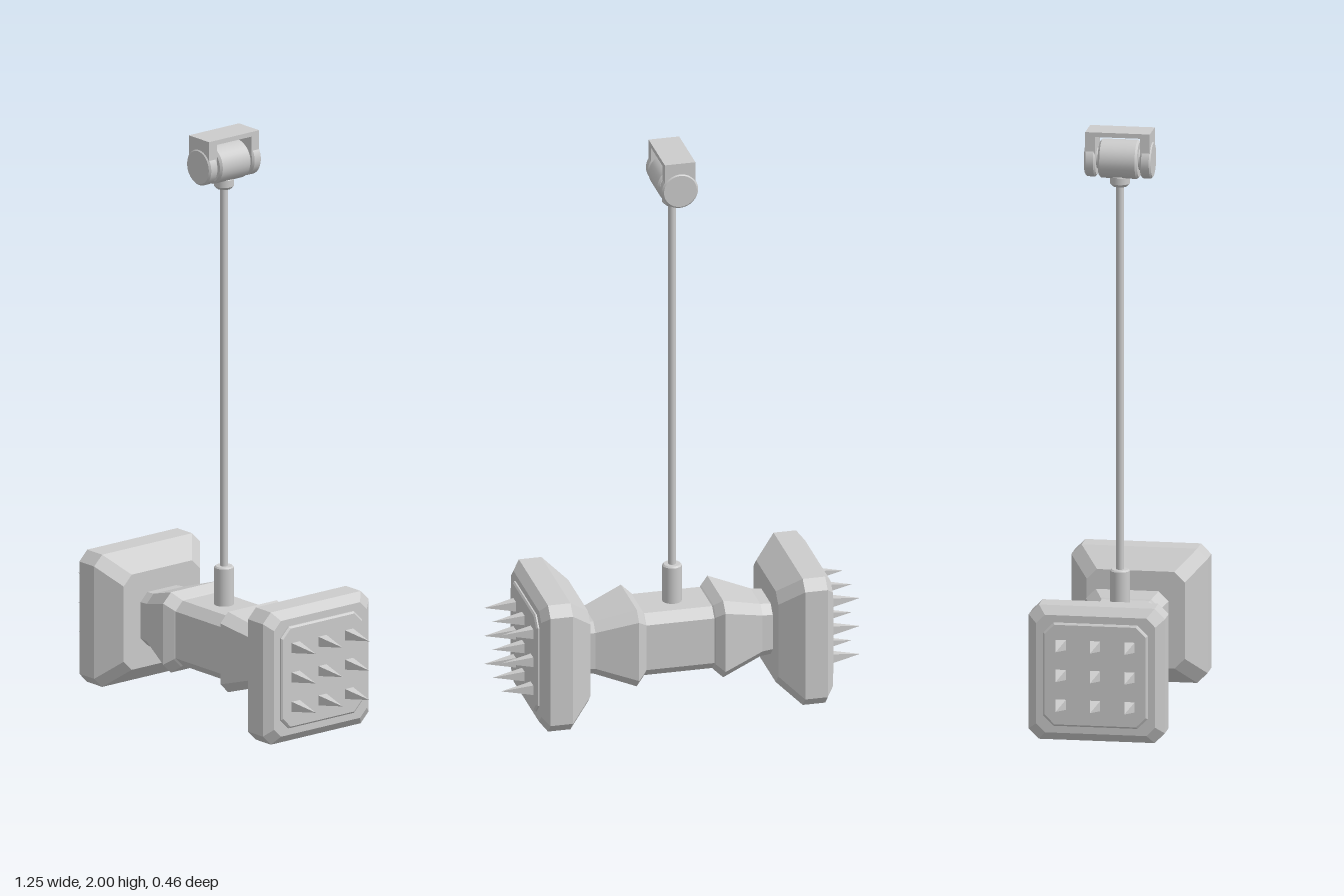
import * as THREE from 'three';

const flat = new THREE.MeshStandardMaterial({ color: 0xcccccc, flatShading: true });
const smooth = new THREE.MeshStandardMaterial({ color: 0xcccccc });
const AXIS_Y = 0.233;   // height of the hammer's long axis
const PIVOT_Y = 1.9;    // height of the hinge at the top

function add(parent, name, geometry, material, x = 0, y = 0, z = 0) {
  const mesh = new THREE.Mesh(geometry, material);
  mesh.name = name;
  mesh.position.set(x, y, z);
  parent.add(mesh);
  return mesh;
}

// Lofts chamfered squares along x; each section is [x, half size, chamfer].
function chamferLoft(sections) {
  const rings = sections.map(([x, h, c]) => {
    const k = h - c;
    return [[h, -k], [h, k], [k, h], [-k, h], [-h, k], [-h, -k], [-k, -h], [k, -h]]
      .map(([y, z]) => [x, y, z]);
  });
  const pos = [];
  const tri = (...pts) => pts.forEach((p) => pos.push(...p));
  for (let s = 0; s < rings.length - 1; s++) {
    const a = rings[s], b = rings[s + 1];
    for (let i = 0; i < 8; i++) {
      const j = (i + 1) % 8;
      tri(a[i], a[j], b[i]);
      tri(a[j], b[j], b[i]);
    }
  }
  const first = rings[0], last = rings[rings.length - 1];
  for (let i = 1; i < 7; i++) {
    tri(first[0], first[i + 1], first[i]);
    tri(last[0], last[i], last[i + 1]);
  }
  const geometry = new THREE.BufferGeometry();
  geometry.setAttribute('position', new THREE.Float32BufferAttribute(pos, 3));
  geometry.computeVertexNormals();
  return geometry;
}

// Round part with small bevels at both ends, along y and centred.
function bevelledCylinder(radius, length, bevel) {
  const h = length / 2;
  const profile = [[0, -h], [radius - bevel, -h], [radius, -h + bevel],
    [radius, h - bevel], [radius - bevel, h], [0, h]];
  // Doubled corners keep the edges crisp
  const pts = profile.flatMap(([r, y], i) => {
    const p = new THREE.Vector2(r, y);
    return i > 0 && i < profile.length - 1 ? [p, p.clone()] : [p];
  });
  return new THREE.LatheGeometry(pts, 32);
}

// One end of the hammer: flared neck, heavy head, face plate and spikes
function createEnd(name) {
  const end = new THREE.Group();
  end.name = name;
  add(end, 'neck', chamferLoft([
    [0.118, 0.114, 0.032], [0.122, 0.118, 0.032], [0.15, 0.141, 0.034],
    [0.29, 0.096, 0.03], [0.34, 0.092, 0.03],
  ]), flat);
  add(end, 'head', chamferLoft([
    [0.326, 0.167, 0.035], [0.403, 0.232, 0.035],
    [0.481, 0.232, 0.035], [0.506, 0.203, 0.03],
  ]), flat);
  add(end, 'facePlate', chamferLoft([
    [0.495, 0.178, 0.035], [0.511, 0.178, 0.035], [0.516, 0.172, 0.033],
  ]), flat);
  const spike = new THREE.ConeGeometry(0.018 * Math.SQRT2, 0.11, 4);
  spike.rotateY(Math.PI / 4);
  spike.rotateZ(-Math.PI / 2);
  for (const y of [-0.103, 0, 0.103]) {
    for (const z of [-0.117, 0, 0.117]) add(end, 'spike', spike, flat, 0.568, y, z);
  }
  return end;
}

// Forked bracket and barrel hinge that the shaft swings from
function createHinge() {
  const hinge = new THREE.Group();
  hinge.name = 'hinge';
  hinge.position.y = PIVOT_Y;
  const w = 0.053;
  const cheek = new THREE.Shape();
  cheek.moveTo(w, 0.1);
  cheek.lineTo(-w, 0.1);
  cheek.lineTo(-w, 0);
  cheek.absarc(0, 0, w, Math.PI, Math.PI * 2, false);
  cheek.lineTo(w, 0.1);
  const cheekGeo = new THREE.ExtrudeGeometry(cheek, { depth: 0.034, bevelEnabled: false, curveSegments: 16 });
  add(hinge, 'bracketTop', new THREE.BoxGeometry(w * 2, 0.016, 0.22), smooth, 0, 0.092, 0);
  const cap = bevelledCylinder(0.063, 0.038, 0.006).rotateX(Math.PI / 2);
  for (const s of [-1, 1]) {
    add(hinge, 'bracketCheek', cheekGeo, smooth, 0, 0, s * 0.093 - 0.017);
    add(hinge, 'pinCap', cap, smooth, 0, 0, s * 0.095);
  }
  add(hinge, 'barrel', bevelledCylinder(0.066, 0.134, 0.007).rotateX(Math.PI / 2), smooth);
  add(hinge, 'pin', new THREE.CylinderGeometry(0.035, 0.035, 0.2, 24).rotateX(Math.PI / 2), smooth);
  return hinge;
}

export function createModel() {
  const model = new THREE.Group();
  model.name = 'swingingHammer';

  // Hammer: middle block and two mirrored ends
  const hammer = new THREE.Group();
  hammer.name = 'hammer';
  hammer.position.y = AXIS_Y;
  model.add(hammer);
  add(hammer, 'middleBlock', chamferLoft([[-0.13, 0.114, 0.032], [0.13, 0.114, 0.032]]), flat);
  const right = createEnd('rightEnd');
  right.rotation.y = Math.PI;
  hammer.add(createEnd('leftEnd'), right);

  // Shaft with its lower sleeve and upper collar
  add(model, 'shaft', new THREE.CylinderGeometry(0.013, 0.013, 1.5, 20), smooth, 0, 1.09, 0);
  add(model, 'sleeve', bevelledCylinder(0.033, 0.16, 0.005), smooth, 0, 0.402, 0);
  add(model, 'collar', bevelledCylinder(0.034, 0.044, 0.01), smooth, 0, 1.828, 0);

  model.add(createHinge());
  return model;
}
